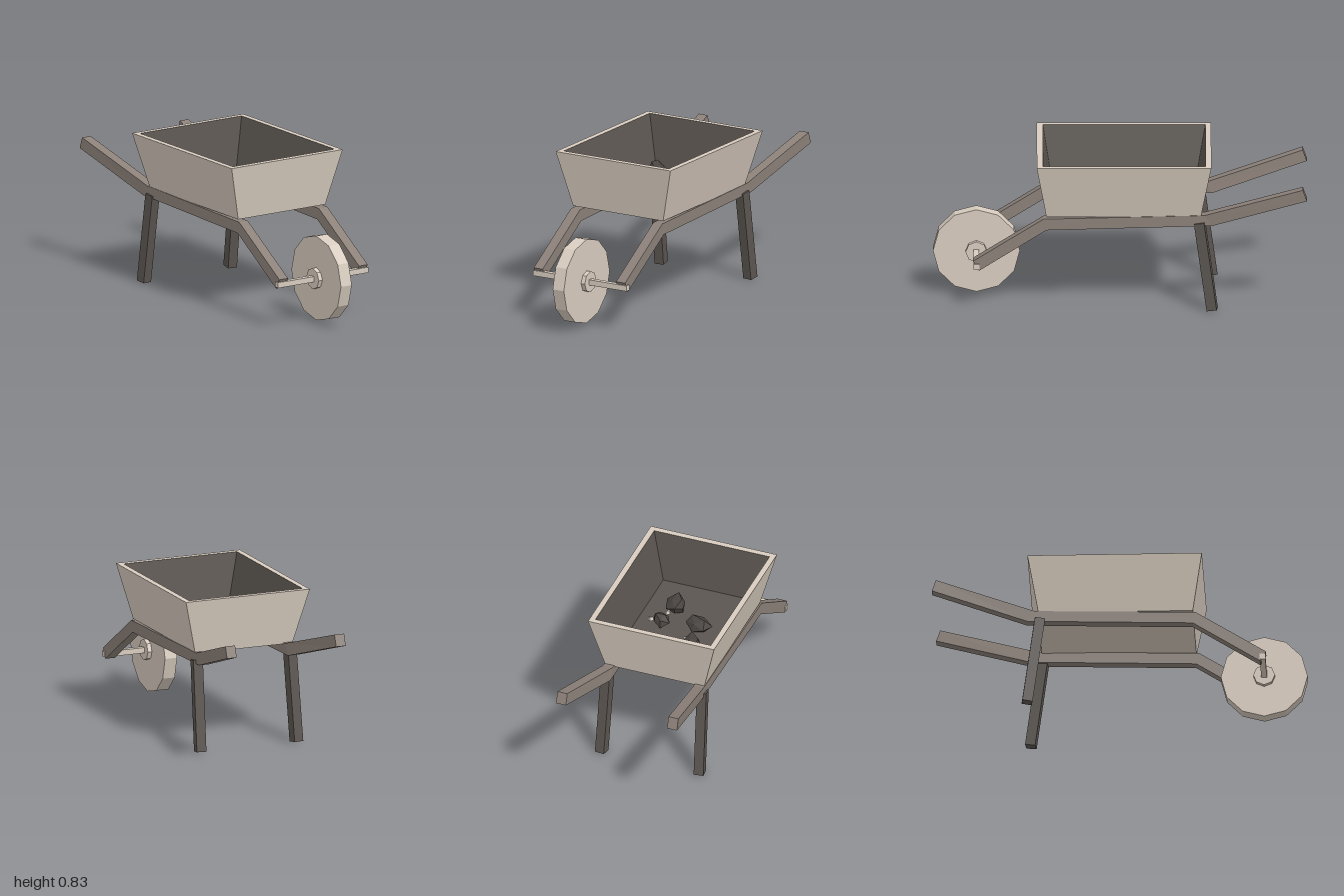
import * as THREE from 'three';

const mat = (name, color) => {
  const m = new THREE.MeshStandardMaterial({ color, flatShading: true });
  m.name = name;
  return m;
};

// Joins four-cornered rings into a faceted skin, with optional end caps.
function loft(rings, capStart, capEnd) {
  const pos = [];
  const quad = (a, b, c, d) => [a, b, c, a, c, d].forEach((p) => pos.push(...p));
  for (let r = 0; r < rings.length - 1; r++) {
    const a = rings[r], b = rings[r + 1];
    for (let i = 0; i < 4; i++) {
      const j = (i + 1) % 4;
      quad(a[i], a[j], b[j], b[i]);
    }
  }
  if (capStart) quad(...[...rings[0]].reverse());
  if (capEnd) quad(...rings[rings.length - 1]);
  const g = new THREE.BufferGeometry();
  g.setAttribute('position', new THREE.Float32BufferAttribute(pos, 3));
  g.computeVertexNormals();
  return g;
}

// Horizontal rectangle used for the tray.
const level = (x, y, front, back) =>
  [[-x, y, front], [x, y, front], [x, y, back], [-x, y, back]];

export function createModel() {
  const model = new THREE.Group();
  model.name = 'wheelbarrow';
  const pale = mat('paleWood', 0xd8ccbf);
  const brown = mat('greyBrownWood', 0x8c8179);
  const dark = mat('darkWood', 0x5b5550);
  const coal = mat('coal', 0x4a4541);

  const add = (name, geometry, material, parent = model) => {
    const m = new THREE.Mesh(geometry, material);
    m.name = name;
    parent.add(m);
    return m;
  };

  // Tray: pale shell and rim, dark lining
  const rimInner = level(0.33, 0.835, 0.413, -0.455);
  add('trayShell', loft([
    level(0.283, 0.533, 0.395, -0.43),
    level(0.361, 0.835, 0.446, -0.486),
    rimInner,
  ], true, false), pale);
  add('trayLining', loft([rimInner, level(0.26, 0.56, 0.367, -0.405)], false, true), dark);

  // Bent rails: centre x, top z, top y, bottom z, bottom y
  const bends = [
    [0.259, 0.786, 0.283, 0.755, 0.228],
    [0.259, 0.41, 0.521, 0.395, 0.458],
    [0.259, -0.45, 0.541, -0.49, 0.482],
    [0.318, -0.975, 0.705, -0.997, 0.643],
  ];
  const half = 0.028;
  for (const s of [-1, 1]) {
    const side = s > 0 ? 'left' : 'right';
    add(side + 'Rail', loft(bends.map(([x, zt, yt, zb, yb]) => [
      [s * x - half, yt, zt], [s * x + half, yt, zt],
      [s * x + half, yb, zb], [s * x - half, yb, zb],
    ]), true, true), brown);

    // Leg leaning back and slightly outward
    const leg = add(side + 'Leg', new THREE.BoxGeometry(0.053, 0.495, 0.055), dark);
    leg.position.set(s * 0.276, 0.252, -0.457);
    leg.rotation.set(0.139, s * -0.12, s * 0.018);
  }

  // Wheel, hub and axle
  const wheel = new THREE.Group();
  wheel.name = 'wheelAssembly';
  wheel.position.set(0, 0.252, 0.768);
  model.add(wheel);
  const disc = (r, width, sides) =>
    new THREE.CylinderGeometry(r, r, width, sides).rotateZ(Math.PI / 2);
  add('wheel', disc(0.232, 0.07, 12), pale, wheel);
  add('hub', disc(0.058, 0.117, 8), pale, wheel);
  add('axle', new THREE.BoxGeometry(0.586, 0.03, 0.03), pale, wheel);

  // Lumps of coal: x, z, half sizes, turn
  const lumps = [
    [-0.13, -0.2, 0.055, 0.06, 0.085, 0.45],
    [-0.08, 0.01, 0.075, 0.045, 0.058, -0.4],
    [0.125, -0.02, 0.055, 0.045, 0.062, 0.3],
    [0.09, 0.125, 0.062, 0.05, 0.085, 0.2],
  ];
  lumps.forEach(([x, z, sx, sy, sz, turn], k) => {
    const g = new THREE.IcosahedronGeometry(1, 0);
    const p = g.attributes.position;
    for (let i = 0; i < p.count; i++) {
      const a = p.getX(i), b = p.getY(i), c = p.getZ(i);
      const f = 0.92 + 0.2 * Math.sin(a * 5 + b * 3 + c * 7 + k * 2);
      p.setXYZ(i, a * f, b * f, c * f);
    }
    g.scale(sx, sy, sz);
    g.computeVertexNormals();
    const lump = add('coalLump', g, coal);
    lump.position.set(x, 0.56 + sy * 0.85, z);
    lump.rotation.y = turn;
  });

  // Pale chips on the coal
  const chips = [[-0.155, 0.62, -0.27], [-0.072, 0.61, -0.15],
    [0.165, 0.62, -0.065], [0.102, 0.615, 0.03]];
  chips.forEach(([x, y, z], k) => {
    const chip = add('paleChip', new THREE.BoxGeometry(0.022, 0.02, 0.022), pale);
    chip.position.set(x, y, z);
    chip.rotation.set(0.3, 0.5 + k, 0.2);
  });

  return model;
}
